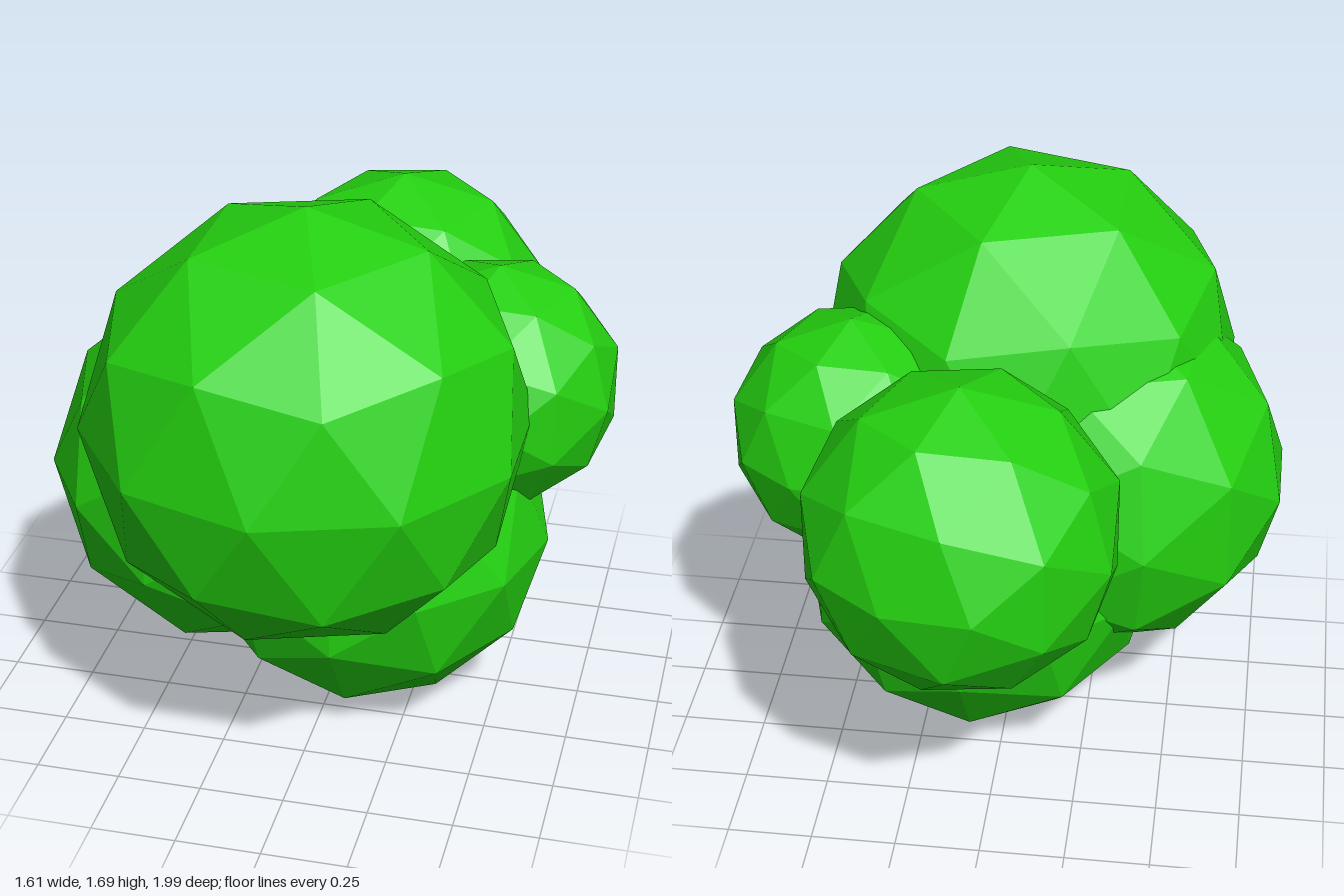
import * as THREE from 'three';

const leafGreen = new THREE.MeshStandardMaterial({ color: 0x24d010, flatShading: true });
leafGreen.name = 'leafGreen';

// One faceted clump of foliage: an icosphere, turned about y and z
function clump(name, radius, [x, y, z], turnY = 0, turnZ = 0) {
  const geometry = new THREE.IcosahedronGeometry(radius, 1);
  geometry.computeVertexNormals(); // flat normals per facet
  const mesh = new THREE.Mesh(geometry, leafGreen);
  mesh.name = name;
  mesh.position.set(x, y, z);
  mesh.rotation.set(0, THREE.MathUtils.degToRad(turnY), THREE.MathUtils.degToRad(turnZ));
  return mesh;
}

export function createModel() {
  const foliage = new THREE.Group();
  foliage.name = 'foliage';
  foliage.add(
    clump('mainClump', 0.65, [-0.02, 1.04, 0.35], 0, -31.72),
    clump('lowerClump', 0.55, [0.09, 0.55, 0.03], -31.72),
    clump('rightClump', 0.55, [-0.28, 0.79, 0.16], 15.85),
    clump('leftClump', 0.37, [0.45, 1.01, -0.08], 69.5),
    clump('backClump', 0.462, [0.07, 0.99, -0.54], 69.5)
  );
  return foliage;
}
